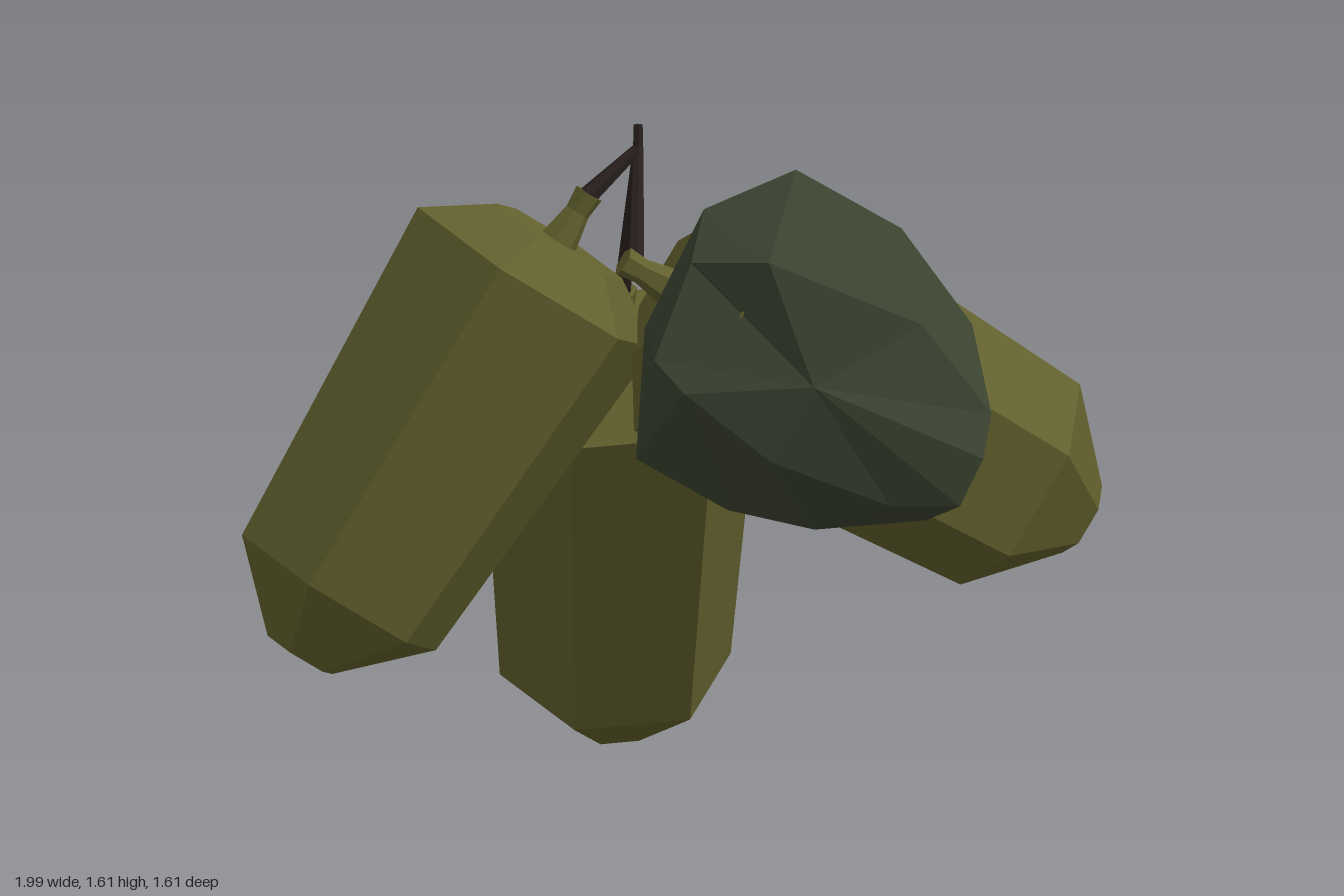
import * as THREE from 'three';

const V = (x, y, z) => new THREE.Vector3(x, y, z);
const mat = (color) => new THREE.MeshStandardMaterial({ color, flatShading: true });
const fruitMat = mat(0x62602d);
const leafMat = mat(0x39412f);
leafMat.side = THREE.DoubleSide;
const stemMat = mat(0x2a211f);

// Six-sided profiles; the origin is the fruit's widest ring
const lathe = (pts) => new THREE.LatheGeometry(pts.map(([r, y]) => new THREE.Vector2(r, y)), 6);
const fruitGeo = lathe([[0, -1.03], [0.09, -1.03], [0.27, -0.86], [0.33, 0], [0.175, 0.1], [0, 0.1]]);
const stubGeo = lathe([[0, 0.08], [0.05, 0.08], [0.03, 0.18], [0.035, 0.23], [0, 0.23]]);

// A fruit hanging from its top ring towards its bottom ring, with a stub on top
function makeFruit(name, top, bottom, side) {
  const y = top.clone().sub(bottom).normalize();
  const z = side.clone().cross(y).normalize();
  const x = y.clone().cross(z);
  const g = new THREE.Group();
  g.name = name;
  const body = new THREE.Mesh(fruitGeo, fruitMat);
  body.name = name + 'Body';
  const stub = new THREE.Mesh(stubGeo, fruitMat);
  stub.name = name + 'Stub';
  g.add(body, stub);
  g.quaternion.setFromRotationMatrix(new THREE.Matrix4().makeBasis(x, y, z));
  g.position.copy(top);
  return g;
}

// Tapered twig between two points
function makeTwig(name, a, b, ra, rb) {
  const d = b.clone().sub(a);
  const m = new THREE.Mesh(new THREE.CylinderGeometry(rb, ra, d.length(), 6), stemMat);
  m.name = name;
  m.position.copy(a).add(b).multiplyScalar(0.5);
  m.quaternion.setFromUnitVectors(V(0, 1, 0), d.normalize());
  return m;
}

// Thick curled leaf: a front loop, a rim loop and fans closing both sides
function makeLeaf() {
  const rim = [
    [0.27, 1.53, 0.22], [0.05, 1.45, 0.24], [-0.1, 1.19, 0.3], [-0.145, 0.91, 0.43], [0.07, 0.78, 0.43],
    [0.27, 0.73, 0.45], [0.5, 0.78, 0.62], [0.64, 1.03, 0.6], [0.64, 1.2, 0.45], [0.51, 1.39, 0.26],
  ];
  const front = [
    [0.15, 1.38, 0.52], [-0.01, 1.36, 0.4], [-0.11, 1.15, 0.47], [-0.05, 1.08, 0.53], [0.145, 0.92, 0.57],
    [0.4, 0.835, 0.7], [0.545, 0.85, 0.8], [0.6, 0.96, 0.8], [0.64, 1.04, 0.69], [0.5, 1.23, 0.57],
  ];
  const frontMid = [0.24, 1.1, 0.6], backMid = [0.25, 1.1, 0.4];
  const pos = [];
  const tri = (...p) => p.forEach((q) => pos.push(...q));
  for (let i = 0; i < rim.length; i++) {
    const j = (i + 1) % rim.length;
    tri(frontMid, front[i], front[j]);
    tri(front[i], rim[i], rim[j]);
    tri(front[i], rim[j], front[j]);
    tri(backMid, rim[j], rim[i]);
  }
  const geo = new THREE.BufferGeometry();
  geo.setAttribute('position', new THREE.Float32BufferAttribute(pos, 3));
  geo.computeVertexNormals();
  const leaf = new THREE.Mesh(geo, leafMat);
  leaf.name = 'leaf';
  return leaf;
}

export function createModel() {
  const model = new THREE.Group();
  model.name = 'fruitCluster';

  // Three hanging fruits
  model.add(
    makeFruit('rightFruit', V(-0.31, 1.265, 0.065), V(-0.77, 0.545, 0.065), V(0, 0, 1)),
    makeFruit('leftFruit', V(0.065, 1.207, 0.2), V(0.8, 0.76, 0.2), V(0, 0, 1)),
    makeFruit('backFruit', V(-0.055, 0.975, -0.235), V(0, 0.195, -0.595), V(0, -0.42, 0.9)),
  );

  model.add(makeLeaf());

  // Twigs meeting in one main stem
  const fork = V(-0.07, 1.56, 0.06);
  model.add(
    makeTwig('mainStem', V(-0.07, 1.54, 0.06), V(-0.07, 1.615, 0.06), 0.013, 0.011),
    makeTwig('rightTwig', V(-0.195, 1.45, 0.07), fork, 0.024, 0.013),
    makeTwig('leftTwig', V(-0.1, 1.31, 0.19), fork, 0.02, 0.013),
    makeTwig('backTwig', V(-0.07, 1.17, -0.14), fork, 0.02, 0.013),
  );
  return model;
}
